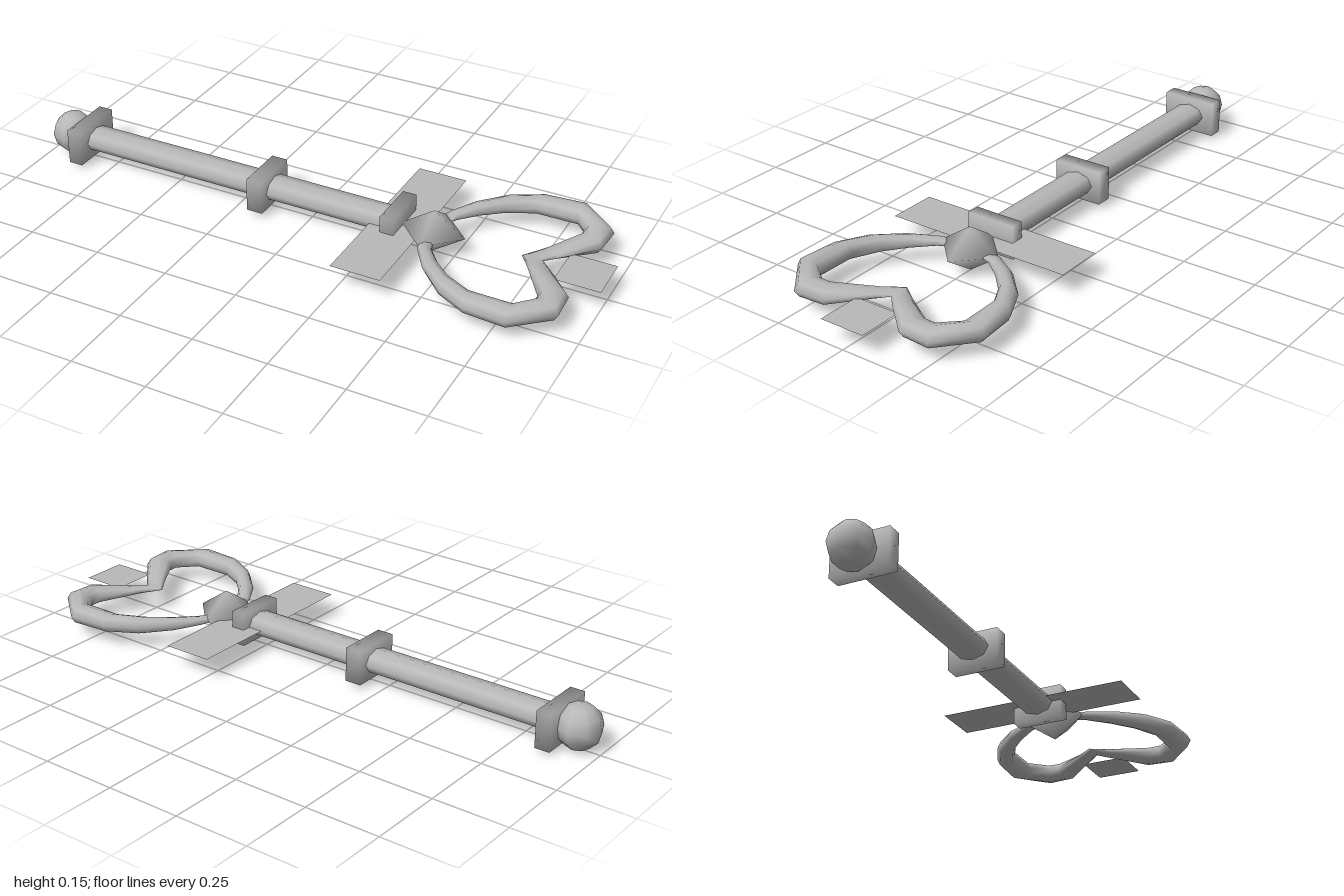
import * as THREE from 'three';
import { mergeVertices } from 'three/addons/utils/BufferGeometryUtils.js';

const MID = 0.078; // height of the wand's axis

// Weld corners so that shading runs smoothly over them
function soften(geometry) {
  geometry.deleteAttribute('uv');
  geometry.deleteAttribute('normal');
  const g = mergeVertices(geometry, 1e-5);
  g.computeVertexNormals();
  return g;
}

// Heart outline: [outer x, outer z, inner x, inner z, half height]
const HALF_HEART = [
  [0.40, -0.05, 0.45, -0.05, 0.004],
  [0.425, -0.12, 0.465, -0.10, 0.013],
  [0.48, -0.205, 0.515, -0.165, 0.022],
  [0.567, -0.29, 0.575, -0.222, 0.029],
  [0.67, -0.342, 0.66, -0.267, 0.032],
  [0.805, -0.353, 0.80, -0.268, 0.033],
  [0.93, -0.248, 0.842, -0.215, 0.031],
  [0.925, -0.145, 0.84, -0.18, 0.029],
  [0.83, -0.04, 0.76, -0.055, 0.010],
  [0.79, 0, 0.72, 0, 0.003],
];

function heartGeometry(sides = 8) {
  const mirrored = HALF_HEART.slice(0, -1).reverse()
    .map(([ox, oz, ix, iz, h]) => [ox, -oz, ix, -iz, h]);
  const stations = [...HALF_HEART, ...mirrored];
  const positions = [], index = [];
  stations.forEach(([ox, oz, ix, iz, h], i) => {
    for (let j = 0; j < sides; j++) {
      const a = (j / sides) * Math.PI * 2;
      const t = (1 + Math.cos(a)) / 2;
      positions.push(ix + (ox - ix) * t, MID + h * Math.sin(a), iz + (oz - iz) * t);
      if (i === stations.length - 1) continue;
      const k = (j + 1) % sides;
      const p = i * sides + j, q = i * sides + k;
      index.push(p, q, p + sides, q, q + sides, p + sides);
    }
  });
  const g = new THREE.BufferGeometry();
  g.setAttribute('position', new THREE.Float32BufferAttribute(positions, 3));
  g.setIndex(index);
  g.computeVertexNormals();
  return g;
}

export function createModel() {
  const group = new THREE.Group();
  group.name = 'heartWand';
  const grey = new THREE.MeshStandardMaterial({ color: 0xb8b8b8, side: THREE.DoubleSide });
  grey.name = 'grey';

  const add = (name, geometry, x, y = MID) => {
    const mesh = new THREE.Mesh(geometry, grey);
    mesh.name = name;
    mesh.position.set(x, y, 0);
    group.add(mesh);
    return mesh;
  };

  // Flattened shaft
  const shaft = new THREE.CylinderGeometry(1, 1, 1.18, 8).rotateZ(Math.PI / 2).scale(1, 0.038, 0.056);
  add('shaft', shaft, -0.27);

  // Pommel ball at the far end
  add('pommel', new THREE.SphereGeometry(0.074, 8, 6), -0.926);

  // Block collars along the shaft
  for (const [name, x, w, h, d] of [
    ['endCollar', -0.86, 0.05, 0.122, 0.194],
    ['middleCollar', -0.168, 0.056, 0.114, 0.172],
    ['headCollar', 0.303, 0.047, 0.112, 0.172],
  ]) add(name, soften(new THREE.BoxGeometry(w, h, d)), x);

  // Diamond gem
  add('gem', soften(new THREE.OctahedronGeometry(1).scale(0.108, 0.074, 0.108)), 0.425);

  // Heart-shaped loop
  add('heart', heartGeometry(), 0, 0);

  // Thin flat plates: wings and tip
  const plate = (w, d) => new THREE.PlaneGeometry(w, d).rotateX(-Math.PI / 2);
  add('wingPlate', plate(0.168, 0.652), 0.313);
  add('tipPlate', plate(0.15, 0.156), 0.925);

  return group;
}
